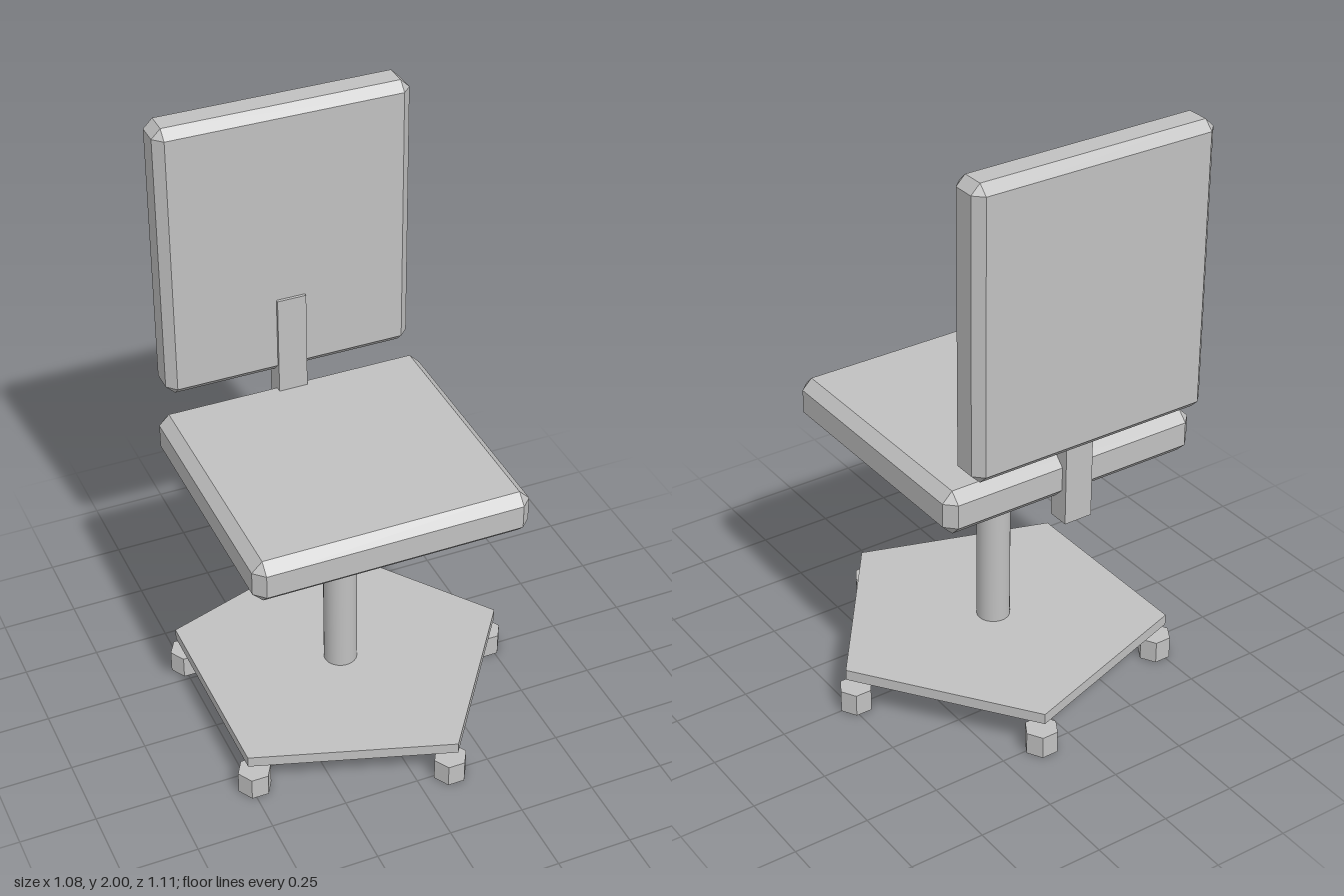
import * as THREE from 'three';
import { ConvexGeometry } from 'three/addons/geometries/ConvexGeometry.js';

// Box with every edge chamfered by b
function chamferBox(w, h, d, b) {
  const points = [];
  for (const sx of [-1, 1]) for (const sy of [-1, 1]) for (const sz of [-1, 1]) {
    const [x, y, z] = [w / 2, h / 2, d / 2];
    points.push(
      new THREE.Vector3(sx * x, sy * (y - b), sz * (z - b)),
      new THREE.Vector3(sx * (x - b), sy * y, sz * (z - b)),
      new THREE.Vector3(sx * (x - b), sy * (y - b), sz * z));
  }
  return new ConvexGeometry(points);
}

// Faceted prism with one corner pointing along +x
function prism(radius, height, sides) {
  const g = new THREE.CylinderGeometry(radius, radius, height, sides, 1, false, Math.PI / 2).toNonIndexed();
  g.computeVertexNormals();
  return g;
}

export function createModel() {
  const model = new THREE.Group();
  model.name = 'swivelChair';
  const grey = new THREE.MeshStandardMaterial({ color: 0xc0c0c0 });
  grey.name = 'grey';
  const axisX = -0.054;

  const add = (name, geometry, x, y, z) => {
    const mesh = new THREE.Mesh(geometry, grey);
    mesh.name = name;
    mesh.position.set(x, y, z);
    model.add(mesh);
  };

  // Cushions
  add('seat', chamferBox(0.91, 0.148, 0.872, 0.034), axisX + 0.003, 0.916, 0);
  add('backrest', chamferBox(0.834, 0.946, 0.132, 0.03), axisX, 1.527, -0.457);

  // Upright joining seat and backrest
  add('backSupport', new THREE.BoxGeometry(0.097, 0.567, 0.074), axisX + 0.002, 1.0485, -0.418);

  // Column and five-sided base
  add('column', new THREE.CylinderGeometry(0.055, 0.055, 0.71, 32), axisX, 0.495, 0);
  add('base', prism(0.57, 0.037, 5), axisX, 0.1345, 0);

  // One caster under each corner of the base
  for (let i = 0; i < 5; i++) {
    const a = (i / 5) * Math.PI * 2;
    add('caster' + (i + 1), prism(0.056, 0.077, 6),
      axisX + 0.535 * Math.cos(a), 0.0385, 0.535 * Math.sin(a));
  }
  return model;
}
